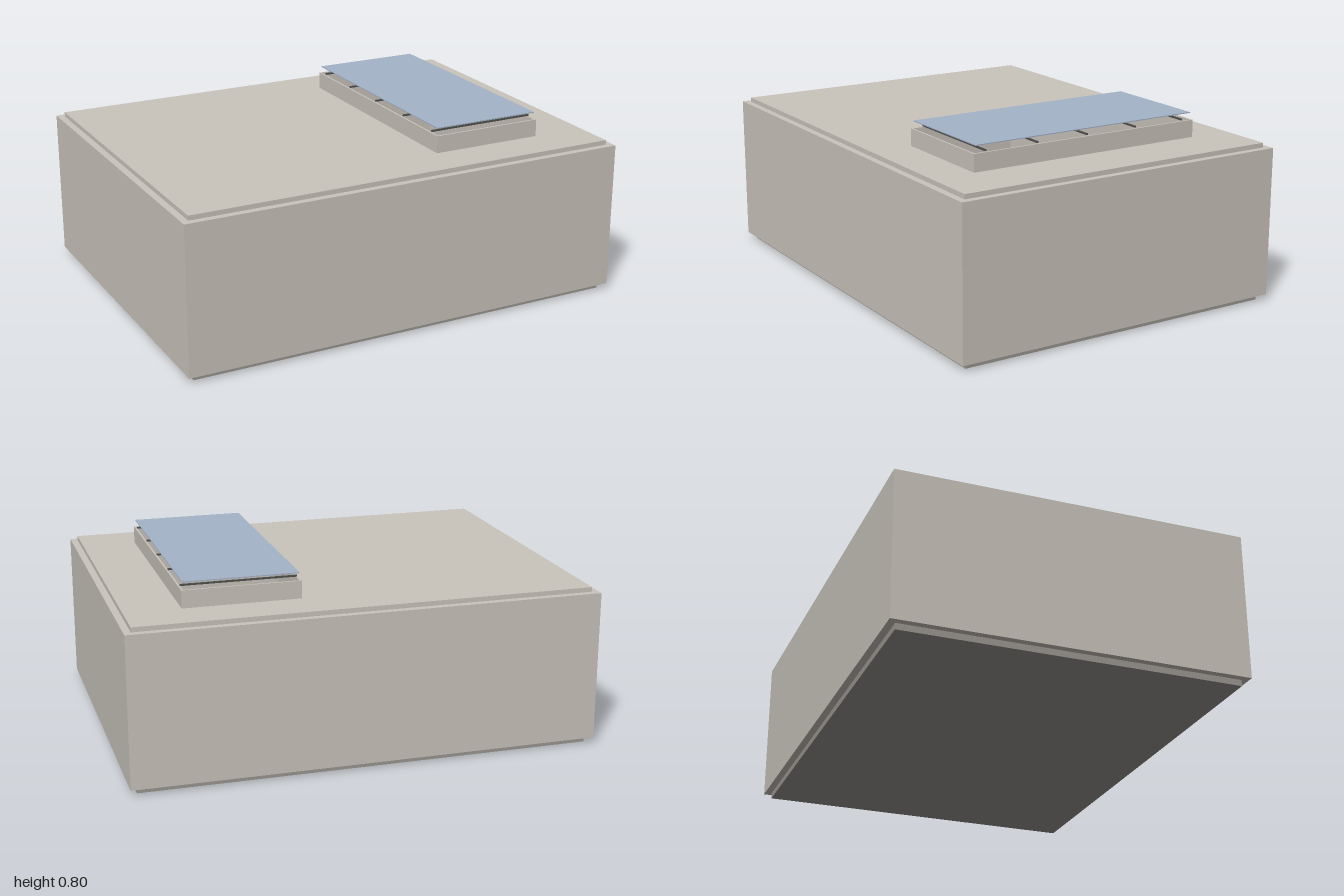
import * as THREE from 'three';

export function createModel() {
  const model = new THREE.Group();
  const plaster = new THREE.MeshStandardMaterial({ name: 'plaster', color: 0xcac4bc });
  const slab = new THREE.MeshStandardMaterial({ name: 'floorSlab', color: 0x9b9690 });
  const glass = new THREE.MeshStandardMaterial({ name: 'glass', color: 0xa5b4c9 });
  const metal = new THREE.MeshStandardMaterial({ name: 'darkMetal', color: 0x50504e });

  // Box given by its extents on each axis
  function block(name, material, [x0, x1], [y0, y1], [z0, z1], parent = model) {
    const mesh = new THREE.Mesh(new THREE.BoxGeometry(x1 - x0, y1 - y0, z1 - z0), material);
    mesh.position.set((x0 + x1) / 2, (y0 + y1) / 2, (z0 + z1) / 2);
    mesh.name = name;
    parent.add(mesh);
  }
  // Range between two distances on the positive or negative side
  const side = (s, a, b) => (s > 0 ? [a, b] : [-b, -a]);

  const X = 0.97, Z = 0.727; // inside faces of the walls
  const wallY = [0.027, 0.672], roofY = [0.672, 0.692], curbY = [0.692, 0.767];
  const open = { x0: 0.243, x1: 0.725, z: 0.533 }; // skylight opening

  // Floor
  block('floor', slab, [-X, X], [0, 0.027], [-Z, Z]);

  // Walls: long ones cover the ends of the short ones
  for (const s of [1, -1]) {
    block(s > 0 ? 'frontWall' : 'backWall', plaster, [-1, 1], wallY, side(s, Z, 0.757));
    block(s > 0 ? 'leftWall' : 'rightWall', plaster, side(s, X, 1), wallY, [-Z, Z]);
  }

  // Roof in four panels around the opening
  const roof = new THREE.Group();
  roof.name = 'roof';
  model.add(roof);
  block('mainRoofPanel', plaster, [-X, open.x0], roofY, [-Z, Z], roof);
  block('sideRoofPanel', plaster, [open.x1, X], roofY, [-Z, Z], roof);
  for (const s of [1, -1]) {
    block('endRoofPanel', plaster, [open.x0, open.x1], roofY, side(s, open.z, Z), roof);
  }

  // Skylight: hollow curb, crossbars and a raised pane
  const skylight = new THREE.Group();
  skylight.name = 'skylight';
  model.add(skylight);
  const t = 0.008;
  block('curbSide', plaster, [open.x0 - t, open.x0], curbY, [-open.z, open.z], skylight);
  block('curbSide', plaster, [open.x1, open.x1 + t], curbY, [-open.z, open.z], skylight);
  for (const s of [1, -1]) {
    block('curbEnd', plaster, [open.x0 - t, open.x1 + t], curbY, side(s, open.z, open.z + t), skylight);
  }
  for (let i = -2; i <= 2; i++) {
    const z = i * 0.2425;
    block('crossbar', metal, [0.24, 0.728], [0.77, 0.777], [z - 0.0035, z + 0.0035], skylight);
  }
  block('pane', glass, [0.241, 0.726], [0.796, 0.8], [-0.53, 0.53], skylight);

  return model;
}
